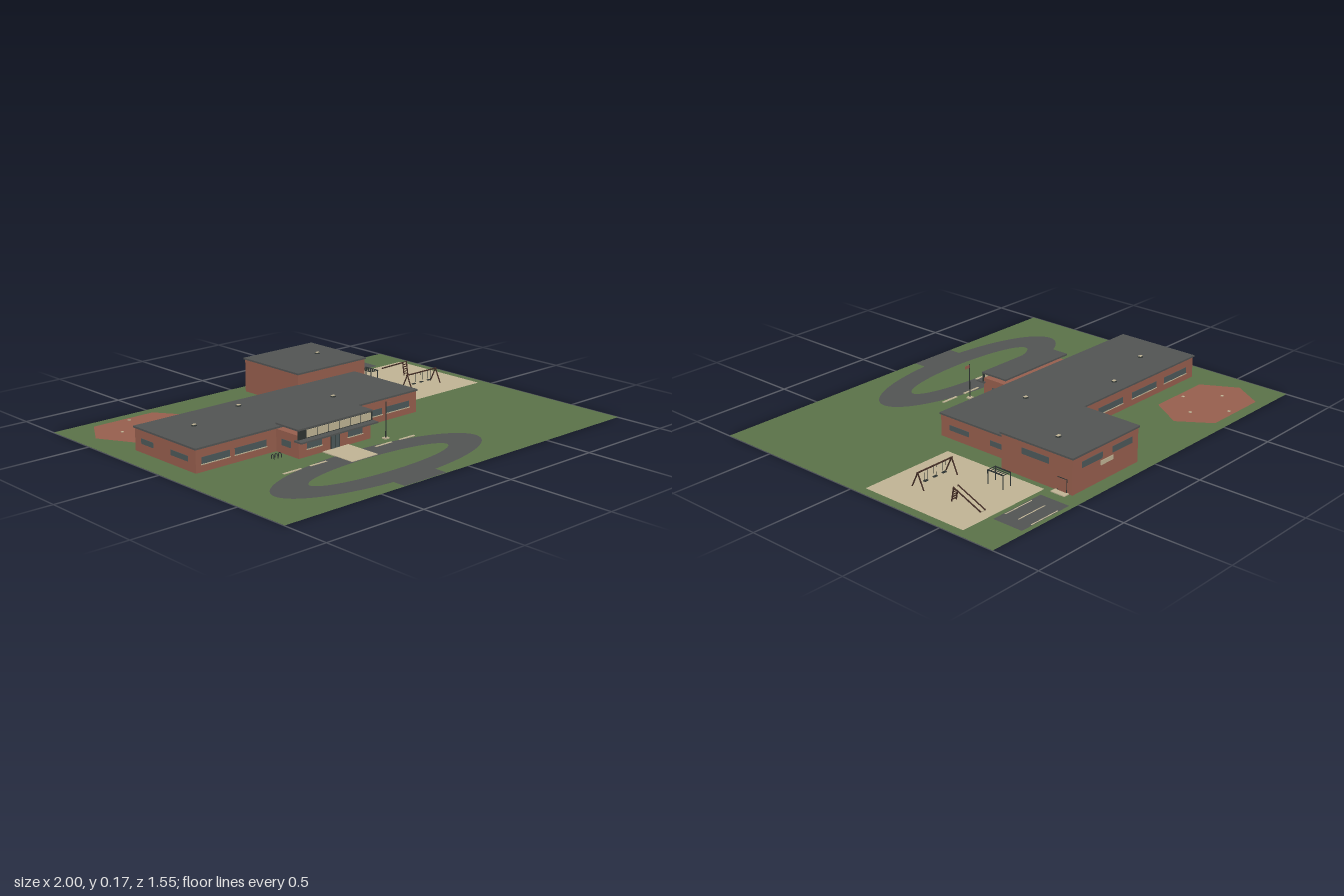
import * as THREE from 'three';

const mat = (name, color, side = THREE.FrontSide) =>
  Object.assign(new THREE.MeshStandardMaterial({ color, side }), { name });

export function createModel() {
  const grass = mat('grass', 0x5a7248, THREE.DoubleSide);
  const slate = mat('slate', 0x525453);
  const brick = mat('brick', 0x965e4d);
  const tan = mat('sand', 0xbfb394);
  const glass = mat('window glass', 0x4c5859);
  const metal = mat('dark metal', 0x2e3432);
  const wood = mat('play frame', 0x432d25);

  const root = new THREE.Group();
  root.name = 'schoolGrounds';
  const group = (name) => {
    const g = new THREE.Group();
    g.name = name;
    root.add(g);
    return g;
  };
  const add = (parent, name, geometry, material) => {
    const m = new THREE.Mesh(geometry, material);
    m.name = name;
    parent.add(m);
    return m;
  };
  // Box given by its limits on each axis
  const box = (parent, name, material, x0, x1, y0, y1, z0, z1) => {
    const m = add(parent, name, new THREE.BoxGeometry(x1 - x0, y1 - y0, z1 - z0), material);
    m.position.set((x0 + x1) / 2, (y0 + y1) / 2, (z0 + z1) / 2);
    return m;
  };
  // Flat shape on the ground, drawn in x and z
  const flat = (parent, name, material, shape, y) => {
    const m = add(parent, name, new THREE.ShapeGeometry(shape, 48), material);
    m.rotation.x = -Math.PI / 2;
    m.position.y = y;
    return m;
  };
  const poly = (pts) => new THREE.Shape(pts.map(([x, z]) => new THREE.Vector2(x, -z)));
  const rect = (x0, x1, z0, z1) => poly([[x0, z1], [x1, z1], [x1, z0], [x0, z0]]);
  // Thin bar between two points
  const bar = (parent, name, material, a, b, r = 0.003) => {
    const p = new THREE.Vector3(...a), q = new THREE.Vector3(...b);
    const d = q.clone().sub(p);
    const m = add(parent, name, new THREE.CylinderGeometry(r, r, d.length(), 8), material);
    m.position.copy(p).add(q).multiplyScalar(0.5);
    m.quaternion.setFromUnitVectors(new THREE.Vector3(0, 1, 0), d.normalize());
    return m;
  };

  // Grounds
  const grounds = group('grounds');
  flat(grounds, 'lawn', grass, rect(-1, 1, -0.775, 0.772), 0);
  const ring = new THREE.Shape().absellipse(-0.25, -0.512, 0.577, 0.2, 0, Math.PI * 2);
  ring.holes.push(new THREE.Path().absellipse(-0.25, -0.512, 0.393, 0.09, 0, Math.PI * 2));
  flat(grounds, 'driveLoop', slate, ring, 0.0015);
  flat(grounds, 'driveExit', slate, rect(-0.37, -0.13, 0.695, 0.77), 0.001);
  flat(grounds, 'playSand', tan, rect(0.487, 0.96, -0.585, -0.045), 0.0015);
  flat(grounds, 'court', slate, rect(0.535, 0.815, -0.755, -0.607), 0.0015);
  for (const z of [-0.75, -0.683, -0.615])
    flat(grounds, 'courtLine', tan, rect(0.597, 0.755, z - 0.003, z + 0.003), 0.0025);
  box(grounds, 'entryWalk', tan, -0.323, -0.175, 0, 0.004, 0.235, 0.417);
  for (const [a, b] of [[-0.628, -0.532], [-0.484, -0.393], [-0.11, -0.013], [0.035, 0.125]])
    box(grounds, 'curbStrip', tan, a, b, 0, 0.003, 0.33, 0.341);

  // Ball field with bases
  const field = group('ballField');
  flat(field, 'infield', brick, poly([[-0.917, -0.573], [-0.826, -0.41], [-0.505, -0.41],
    [-0.403, -0.573], [-0.505, -0.722], [-0.826, -0.722]]), 0.0015);
  for (const [x, z] of [[-0.655, -0.693], [-0.78, -0.57], [-0.53, -0.57], [-0.655, -0.44]])
    box(field, 'base', tan, x - 0.006, x + 0.006, 0, 0.004, z - 0.006, z + 0.006);

  // Building blocks
  const building = group('building');
  const block = (name, x0, x1, z0, z1, h) => {
    box(building, name + 'Walls', brick, x0, x1, 0, h, z0, z1);
    box(building, name + 'Roof', slate, x0 - 0.005, x1 + 0.005, h, h + 0.008, z0 - 0.005, z1 + 0.005);
  };
  block('main', -0.883, 0.386, -0.325, 0.09, 0.101);
  block('hall', 0.034, 0.457, -0.706, -0.325, 0.158);
  box(building, 'entryWalls', brick, -0.455, -0.04, 0, 0.1, 0.09, 0.233);
  box(building, 'entryRoof', slate, -0.462, -0.033, 0.122, 0.13, 0.095, 0.238);
  box(building, 'entryCanopy', slate, -0.474, -0.031, 0.076, 0.083, 0.225, 0.271);

  // Entry sign band, blank panels on a dark backing
  box(building, 'signBacking', metal, -0.462, -0.033, 0.083, 0.122, 0.233, 0.237);
  for (let i = 0; i < 6; i++) {
    const x = -0.415 + i * 0.0625;
    box(building, 'signPanel', tan, x, x + 0.057, 0.087, 0.12, 0.237, 0.24);
  }
  box(building, 'signBack', tan, -0.45, -0.045, 0.102, 0.12, 0.23, 0.233);

  // Windows: facing z or x, with a pale sill
  const windowZ = (z, s, a, b, y0 = 0.035, y1 = 0.064, sill = true) => {
    box(building, 'window', glass, a, b, y0, y1, z - 0.002, z + 0.002);
    if (sill) box(building, 'sill', tan, a - 0.003, b + 0.003, y0 - 0.004, y0, z - 0.003 + s * 0.001, z + 0.003 + s * 0.001);
  };
  const windowX = (x, a, b, y0, y1) =>
    box(building, 'window', glass, x - 0.002, x + 0.002, y0, y1, a, b);
  for (const [a, b] of [[-0.853, -0.708], [-0.68, -0.51], [-0.008, 0.168], [0.195, 0.34]])
    windowZ(0.09, 1, a, b);
  for (const [a, b] of [[-0.41, -0.325], [-0.175, -0.09]]) windowZ(0.233, 1, a, b);
  for (const [a, b] of [[-0.83, -0.66], [-0.6, -0.42], [-0.35, -0.18], [-0.12, -0.005]])
    windowZ(-0.325, -1, a, b);
  for (const [a, b] of [[0.075, 0.205], [0.27, 0.4]]) windowZ(-0.706, -1, a, b, 0.102, 0.13, false);
  for (const x of [-0.883, 0.386])
    for (const [a, b] of [[-0.075, 0.04], [-0.28, -0.197]]) windowX(x, a, b, 0.04, 0.064);
  for (const x of [-0.455, -0.04]) windowX(x, 0.125, 0.183, 0.036, 0.064);
  windowX(0.457, -0.583, -0.438, 0.102, 0.13);

  // Doors, step and wall backboard
  box(building, 'entryDoorFrame', metal, -0.277, -0.223, 0, 0.072, 0.231, 0.235);
  for (const x of [-0.272, -0.248])
    box(building, 'entryDoor', glass, x, x + 0.02, 0.004, 0.067, 0.235, 0.2365);
  box(building, 'hallDoorFrame', metal, 0.455, 0.459, 0, 0.063, -0.679, -0.629);
  box(building, 'hallDoor', brick, 0.459, 0.4605, 0, 0.06, -0.676, -0.632);
  box(building, 'hallStep', tan, 0.457, 0.488, 0, 0.004, -0.69, -0.618);
  box(building, 'backboard', tan, 0.2, 0.28, 0.072, 0.092, -0.709, -0.705);

  // Roof vents
  for (const [x, y, z] of [[-0.7, 0.109, -0.155], [-0.38, 0.109, -0.252], [0.025, 0.109, -0.077], [0.34, 0.166, -0.532]]) {
    const base = add(building, 'ventBase', new THREE.CylinderGeometry(0.01, 0.013, 0.005, 12), metal);
    base.position.set(x, y + 0.0025, z);
    box(building, 'ventCap', tan, x - 0.009, x + 0.009, y + 0.005, y + 0.007, z - 0.007, z + 0.007);
  }

  // Flagpole
  const flagpole = group('flagpole');
  box(flagpole, 'poleBase', tan, -0.007, 0.017, 0, 0.006, 0.27, 0.292);
  bar(flagpole, 'pole', metal, [0.005, 0, 0.281], [0.005, 0.167, 0.281], 0.0025);
  box(flagpole, 'flag', brick, 0.007, 0.034, 0.149, 0.164, 0.28, 0.282);

  // Bike rack hoops
  const rack = group('bikeRack');
  for (const x of [-0.535, -0.515, -0.495]) {
    const hoop = add(rack, 'hoop', new THREE.TorusGeometry(0.009, 0.0018, 6, 12, Math.PI), metal);
    hoop.rotation.y = Math.PI / 2;
    hoop.position.set(x, 0.011, 0.16);
    for (const s of [-1, 1])
      bar(rack, 'hoopLeg', metal, [x, 0, 0.16 + s * 0.009], [x, 0.011, 0.16 + s * 0.009], 0.0018);
  }

  // Swing set
  const swings = group('swingSet');
  for (const x of [0.625, 0.82])
    for (const z of [-0.168, -0.235]) bar(swings, 'swingLeg', wood, [x, 0, z], [x, 0.07, -0.202]);
  bar(swings, 'swingBeam', wood, [0.62, 0.07, -0.202], [0.825, 0.07, -0.202], 0.0035);
  for (const x of [0.67, 0.722, 0.775]) {
    for (const s of [-1, 1])
      bar(swings, 'swingChain', metal, [x + s * 0.009, 0.02, -0.202], [x + s * 0.009, 0.07, -0.202], 0.0008);
    box(swings, 'swingSeat', metal, x - 0.01, x + 0.01, 0.018, 0.021, -0.208, -0.196);
  }

  // Climbing frame with overhead rungs
  const climber = group('climbingFrame');
  for (const x of [0.557, 0.602]) {
    for (const z of [-0.465, -0.383]) bar(climber, 'climberPost', metal, [x, 0, z], [x, 0.063, z], 0.0025);
    bar(climber, 'climberRail', metal, [x, 0.063, -0.467], [x, 0.063, -0.381], 0.0025);
  }
  for (let i = 0; i < 7; i++) {
    const z = -0.465 + i * 0.0137;
    bar(climber, 'climberRung', metal, [0.557, 0.063, z], [0.602, 0.063, z], 0.002);
  }

  // Slide and its ladder
  const slide = group('slide');
  const chute = box(slide, 'chute', tan, 0.788, 0.812, -0.0015, 0.0015, -0.077, 0.077);
  chute.position.set(0.8, 0.034, -0.467);
  chute.rotation.x = -Math.atan2(0.058, 0.142);
  for (const x of [0.787, 0.813]) {
    bar(slide, 'chuteSide', wood, [x, 0.007, -0.54], [x, 0.066, -0.395]);
    bar(slide, 'ladderRail', wood, [x, 0, -0.383], [x, 0.068, -0.395]);
  }
  for (let i = 1; i < 6; i++) {
    const y = i * 0.011, z = -0.383 - y * 0.176;
    bar(slide, 'ladderRung', wood, [0.787, y, z], [0.813, y, z], 0.0025);
  }
  return root;
}
